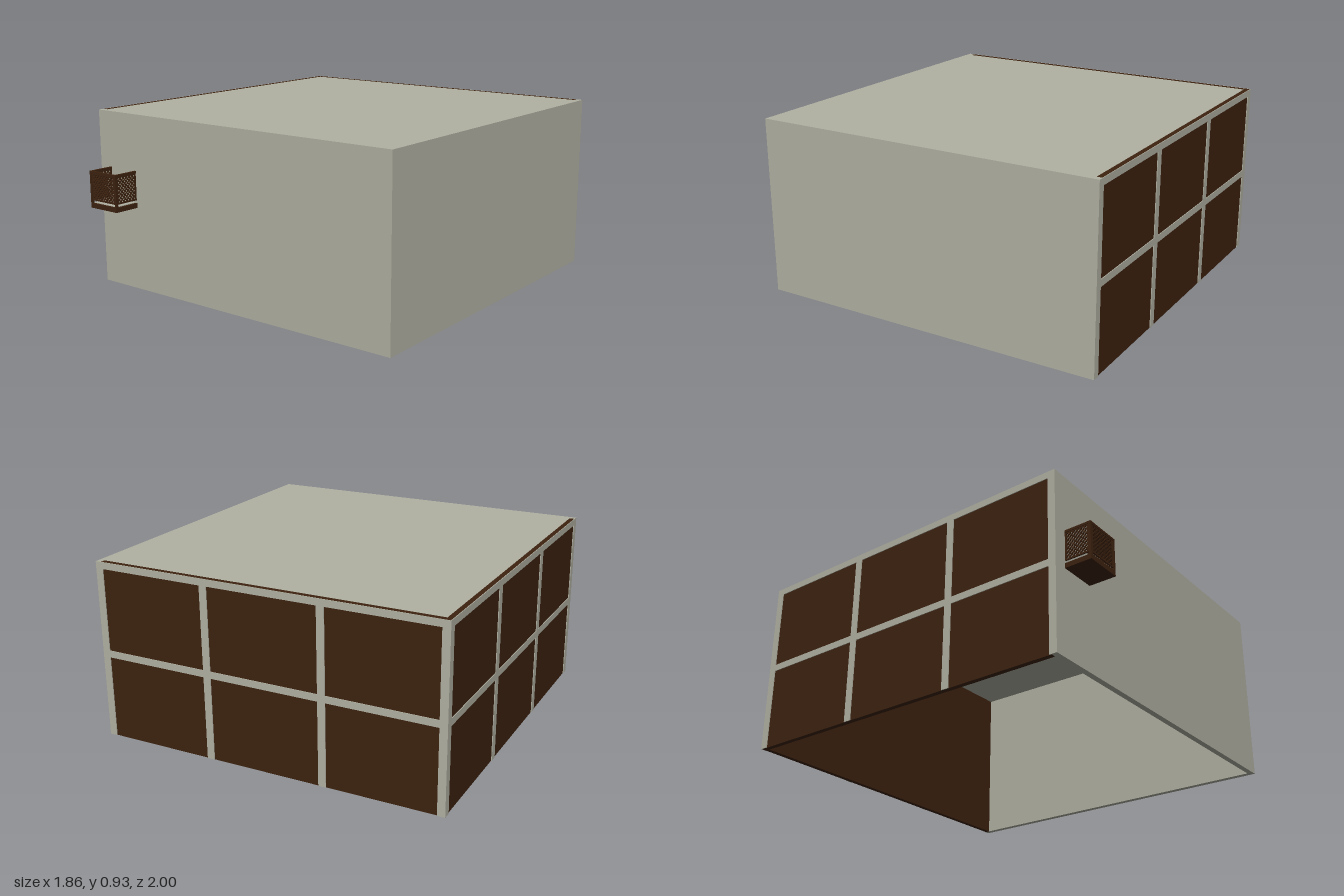
import * as THREE from 'three';

const wallGrey = new THREE.MeshStandardMaterial({ color: 0xb0b0a2 });
wallGrey.name = 'wallGrey';
const darkWood = new THREE.MeshStandardMaterial({ color: 0x3d220f });
darkWood.name = 'darkWood';

// Box given by its min and max corners
function box(name, material, [x0, y0, z0], [x1, y1, z1]) {
  const mesh = new THREE.Mesh(new THREE.BoxGeometry(x1 - x0, y1 - y0, z1 - z0), material);
  mesh.position.set((x0 + x1) / 2, (y0 + y1) / 2, (z0 + z1) / 2);
  mesh.name = name;
  return mesh;
}

// Window grid: thin grey bars in the xy plane, outer face towards +z
function windowFrame(name, length, height) {
  const frame = new THREE.Group();
  frame.name = name;
  const t = 0.004, w = 0.04, h = length / 2;
  for (let i = 0; i <= 3; i++) {
    const x = THREE.MathUtils.clamp(-h + (length * i) / 3, -h + w / 2, h - w / 2);
    frame.add(box('mullion', wallGrey, [x - w / 2, 0, -t], [x + w / 2, height, 0]));
  }
  frame.add(box('topBar', wallGrey, [-h, height - 0.035, -t], [h, height, 0]));
  frame.add(box('middleBar', wallGrey, [-h, 0.432, -t], [h, 0.468, 0]));
  return frame;
}

// Pierced panel with staggered diamond holes, centred on x, standing on y = 0
function lattice(width, height) {
  const pitch = 0.02, r = 0.0068, h = width / 2;
  const shape = new THREE.Shape();
  shape.moveTo(-h, 0).lineTo(h, 0).lineTo(h, height).lineTo(-h, height).closePath();
  const columns = Math.floor(width / pitch), rows = Math.floor(height / (pitch / 2)) - 1;
  for (let j = 0; j < rows; j++) {
    const n = columns - (j % 2);
    for (let i = 0; i < n; i++) {
      const x = (i - (n - 1) / 2) * pitch;
      const y = height / 2 + (j - (rows - 1) / 2) * (pitch / 2);
      const hole = new THREE.Path();
      hole.moveTo(x - r, y).lineTo(x, y + r).lineTo(x + r, y).lineTo(x, y - r).closePath();
      shape.holes.push(hole);
    }
  }
  const geometry = new THREE.ExtrudeGeometry(shape, { depth: 0.006, bevelEnabled: false });
  geometry.translate(0, 0, -0.003);
  const mesh = new THREE.Mesh(geometry, darkWood);
  mesh.name = 'latticePanel';
  return mesh;
}

function createBalcony() {
  const balcony = new THREE.Group();
  balcony.name = 'balcony';
  const x0 = -0.86, x1 = -0.665, z0 = 0.86, z1 = 1, p = 0.012;
  const low = 0.465, top = 0.635;
  // Base slab with a pale floor
  balcony.add(box('balconyBase', darkWood, [x0, 0.44, z0], [x1, low, z1]));
  balcony.add(box('balconyFloor', wallGrey, [x0 + p, low, z0], [x1 - p, low + 0.003, z1 - p]));
  // Corner posts and side railings
  for (const x of [x0, x1 - p]) {
    balcony.add(box('post', darkWood, [x, low, z1 - p], [x + p, top, z1]));
    balcony.add(box('sideRail', darkWood, [x, top - p, z0], [x + p, top, z1 - p]));
    const side = lattice(z1 - z0 - p, 0.145);
    side.rotation.y = Math.PI / 2;
    side.position.set(x + p / 2, 0.48, (z0 + z1 - p) / 2);
    balcony.add(side);
  }
  // Front railing
  balcony.add(box('frontRail', darkWood, [x0 + p, top - p, z1 - p], [x1 - p, top, z1]));
  const front = lattice(x1 - x0 - 2 * p, 0.145);
  front.position.set((x0 + x1) / 2, 0.48, z1 - p / 2);
  balcony.add(front);
  return balcony;
}

export function createModel() {
  const model = new THREE.Group();
  model.name = 'house';
  const X = 0.93, H = 0.93, zf = 0.86, zb = -1, t = 0.03, s = 0.004;

  // Plain walls and roof, open underneath
  model.add(box('frontWall', wallGrey, [-X, 0, zf - t], [X, H, zf]));
  model.add(box('leftWall', wallGrey, [X - t, 0, zb], [X, H, zf - t]));
  model.add(box('roof', wallGrey, [-X + t, H - t, zb + t], [X - t, H, zf - t]));

  // Dark panel walls
  model.add(box('backPanel', darkWood, [-X + s, 0, zb + s], [X - t, H, zb + t]));
  model.add(box('rightPanel', darkWood, [-X + s, 0, zb + t], [-X + t, H, zf - t]));

  // Window bars on the dark walls
  const back = windowFrame('backWindowFrame', 2 * X, H);
  back.rotation.y = Math.PI;
  back.position.z = zb;
  model.add(back);
  const right = windowFrame('rightWindowFrame', zf - zb, H);
  right.rotation.y = -Math.PI / 2;
  right.position.set(-X, 0, (zf + zb) / 2);
  model.add(right);

  model.add(createBalcony());
  return model;
}
